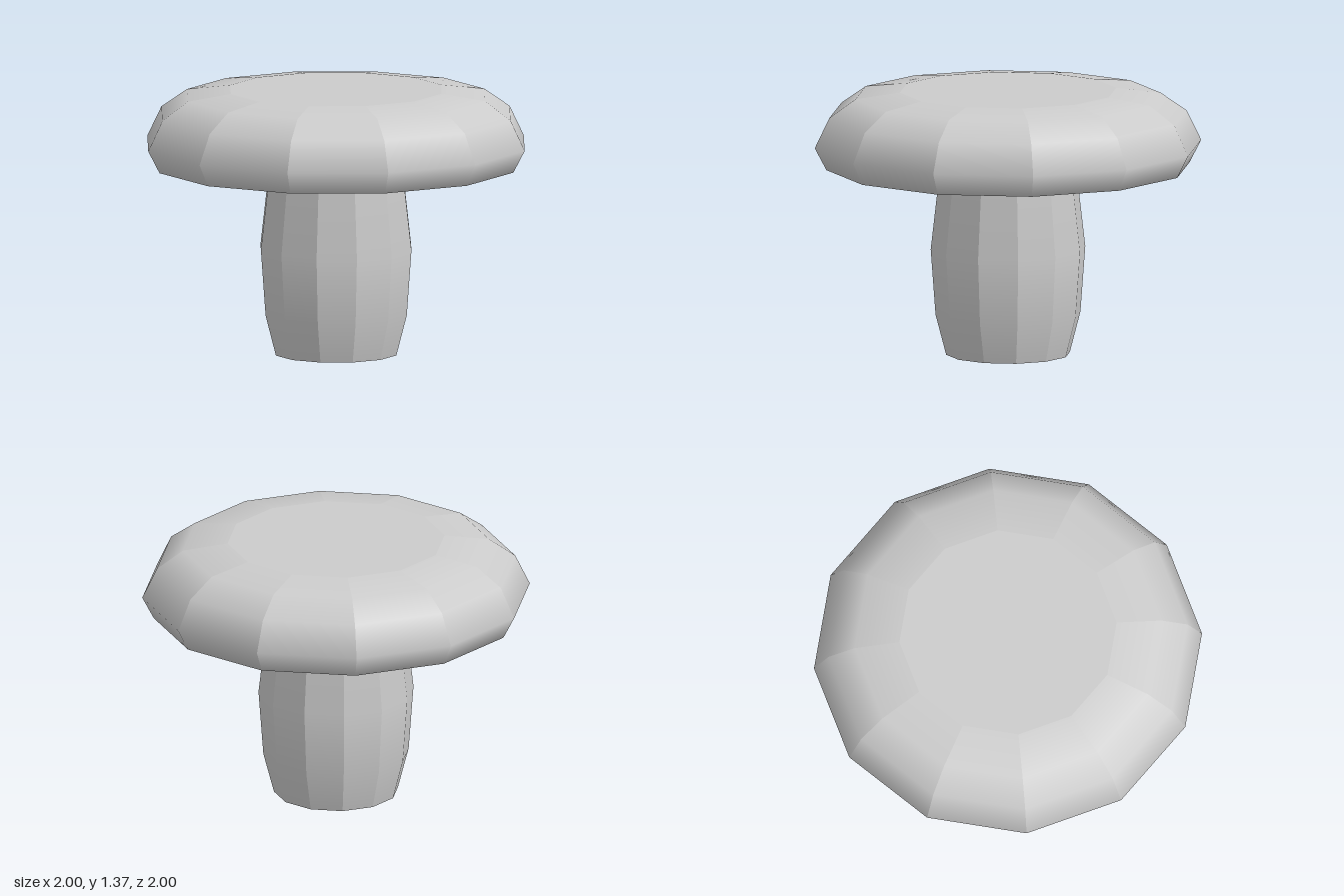
import * as THREE from 'three';
import { mergeGeometries } from 'three/addons/utils/BufferGeometryUtils.js';

const SIDES = 12;

// Twelve-sided lathe: smooth along the profile, creased between the panels.
function facetedLathe(profile) {
  const step = (Math.PI * 2) / SIDES;
  const points = profile.map(([r, y]) => new THREE.Vector2(r, y));
  const panels = [];
  for (let s = 0; s < SIDES; s++) {
    const panel = new THREE.LatheGeometry(points, 1, s * step, step);
    const normal = panel.attributes.normal;
    const middle = (s + 0.5) * step;
    for (let i = 0; i < normal.count; i++) {
      const angle = i < points.length ? s * step : (s + 1) * step;
      const radial = normal.getX(i) * Math.sin(angle) + normal.getZ(i) * Math.cos(angle);
      normal.setXYZ(i, radial * Math.sin(middle), normal.getY(i), radial * Math.cos(middle));
    }
    panels.push(panel);
  }
  return mergeGeometries(panels);
}

export function createModel() {
  const group = new THREE.Group();
  const addPart = (name, profile, parent, side = THREE.FrontSide) => {
    const material = new THREE.MeshStandardMaterial({ color: 0xcccccc, side });
    const mesh = new THREE.Mesh(facetedLathe(profile), material);
    mesh.name = name;
    parent.add(mesh);
  };

  // Bulging stem, an open tube that runs up to the hollow of the cap
  addPart('stem', [[0.32, 0], [0.375, 0.21], [0.4, 0.55], [0.32, 1.25]], group, THREE.DoubleSide);

  // Cap: flared hollow rolling over the rim into the rounded outside
  const cap = new THREE.Group();
  cap.name = 'cap';
  group.add(cap);
  addPart('capShell', [
    [0.62, 1.25], [0.82, 1.09], [0.88, 0.985], [0.94, 0.975],
    [1, 1.09], [0.925, 1.245], [0.79, 1.34], [0.56, 1.37],
  ], cap);
  addPart('capTop', [[0.56, 1.37], [0, 1.37]], cap);
  addPart('capHollowCeiling', [[0, 1.25], [0.62, 1.25]], cap);

  return group;
}
